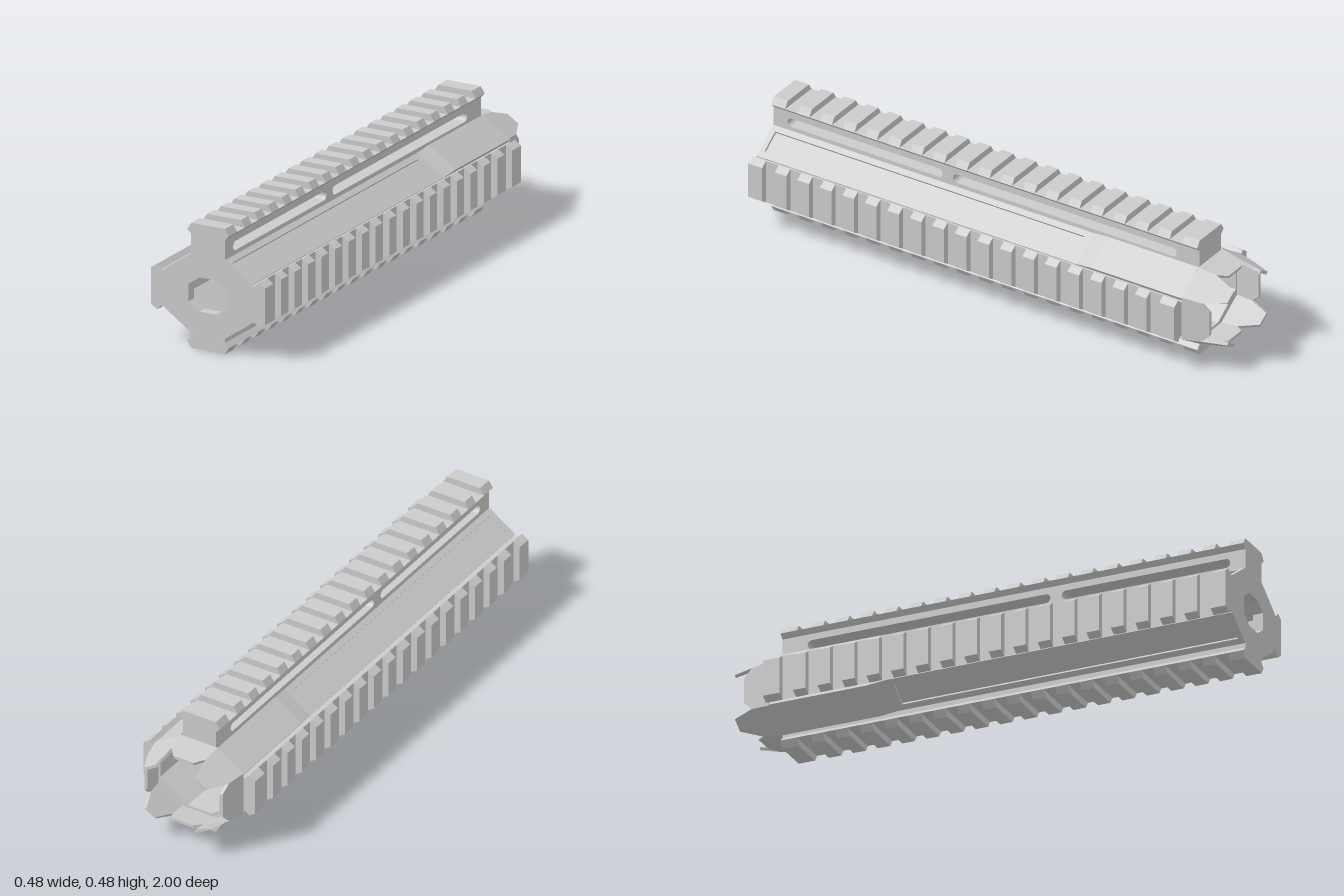
import * as THREE from 'three';

const FRONT = 1, BACK = -0.84, LEN = FRONT - BACK, AXIS_Y = 0.21;
const material = new THREE.MeshStandardMaterial({ color: 0xcccccc, flatShading: true, side: THREE.DoubleSide });

const shapeOf = (pts) => new THREE.Shape(pts.map(([x, y]) => new THREE.Vector2(x, y)));
const extrude = (shape, depth) =>
  new THREE.ExtrudeGeometry(shape, { depth, bevelEnabled: false, curveSegments: 8 });

function add(parent, name, geometry) {
  const mesh = new THREE.Mesh(geometry, material);
  mesh.name = name;
  parent.add(mesh);
  return mesh;
}

// Eight-sided ring, counter-clockwise, from its two corners in the first quadrant
function octagon([ax, ay], [bx, by]) {
  return [[bx, -by], [bx, by], [ax, ay], [-ax, ay], [-bx, by], [-bx, -by], [-ax, -ay], [ax, -ay]];
}

// Side profile drawn in (z, y), extruded across x and centred
function acrossX(shape, width) {
  return extrude(shape, width).rotateY(-Math.PI / 2).translate(width / 2, 0, 0);
}

// Rounded slot from z0 to z1 between heights y0 and y1
function slot(z0, z1, y0, y1) {
  const r = (y1 - y0) / 2, y = (y0 + y1) / 2;
  const path = new THREE.Path();
  path.absarc(z1 - r, y, r, -Math.PI / 2, Math.PI / 2, false);
  path.absarc(z0 + r, y, r, Math.PI / 2, Math.PI * 1.5, false);
  path.closePath();
  return path;
}

// Toothed rail whose outer face lies at radius R from the axis
function makeRail(name, R, inner, slots) {
  const rail = new THREE.Group();
  rail.name = name;
  const neck = R - 0.043, lip = R - 0.026;
  const web = shapeOf([[BACK, inner], [FRONT, inner], [FRONT, neck], [BACK, neck]]);
  web.holes.push(...slots);
  add(rail, 'railWeb', acrossX(web, 0.14));
  const head = shapeOf([[-0.07, neck], [0.07, neck], [0.087, lip], [-0.087, lip]]);
  add(rail, 'railHead', extrude(head, LEN).translate(0, 0, BACK));

  const tooth = shapeOf([[-0.087, lip], [0.087, lip], [0.07, R], [-0.07, R]]);
  const teeth = [[0.94, 0.06], [BACK, 0.065]];
  for (let i = 0; i < 17; i++) teeth.push([0.835 - i * 0.0972, 0.05]);
  for (const [z, w] of teeth) add(rail, 'railTooth', extrude(tooth, w).translate(0, 0, z));
  return rail;
}

// Sloping panel between two rails: windowed frame and a raised rear pad
function makeDiagonal(sx, sy) {
  const panel = new THREE.Group();
  panel.name = 'diagonalPanel';
  const width = 0.134, h = width / 2;
  const frame = shapeOf([[-h, BACK], [h, BACK], [h, FRONT], [-h, FRONT]]);
  frame.holes.push(new THREE.Path(
    [[-0.044, -0.355], [-0.044, 0.98], [0.04, 0.98], [0.04, -0.355]].map(([x, y]) => new THREE.Vector2(x * sx * sy, y))));
  add(panel, 'panelFrame', extrude(frame, 0.01).rotateX(Math.PI / 2));
  const pad = shapeOf([[BACK, -0.008], [-0.38, -0.008], [-0.38, 0], [-0.45, 0.013], [BACK, 0.013]]);
  add(panel, 'raisedPad', acrossX(pad, width));
  panel.position.set(0.127 * sx, 0.112 * sy, 0);
  panel.rotation.z = Math.atan2(0.822 * sy, 0.568 * sx) - Math.PI / 2;
  return panel;
}

// One tapering plate of the rear crown between ring corners a and b
function crownPlate(a, b, outline) {
  const point = ([u, t], wall) => {
    const s = (1 - 1.06 * t) * wall;
    return [(a[0] + (b[0] - a[0]) * u) * s, (a[1] + (b[1] - a[1]) * u) * s, BACK - t];
  };
  const outer = outline.map((p) => point(p, 1)), inside = outline.map((p) => point(p, 0.92));
  const n = outline.length, pos = [];
  const tri = (...corners) => corners.forEach((c) => pos.push(...c));
  for (let i = 1; i < n - 1; i++) {
    tri(outer[0], outer[i + 1], outer[i]);
    tri(inside[0], inside[i], inside[i + 1]);
  }
  for (let i = 0; i < n; i++) {
    const j = (i + 1) % n;
    tri(outer[i], outer[j], inside[j]);
    tri(outer[i], inside[j], inside[i]);
  }
  const geometry = new THREE.BufferGeometry();
  geometry.setAttribute('position', new THREE.Float32BufferAttribute(pos, 3));
  geometry.computeVertexNormals();
  return geometry;
}

export function createModel() {
  const model = new THREE.Group();
  model.name = 'railedHandguard';
  const core = new THREE.Group();
  core.name = 'handguard';
  core.position.y = AXIS_Y;
  model.add(core);

  // Hollow eight-sided body, closed at the front by a plate with a smaller bore
  const ring = octagon([0.0544, 0.15], [0.182, 0.0618]);
  const tube = shapeOf(ring);
  tube.holes.push(shapeOf(octagon([0.05, 0.137], [0.167, 0.056])));
  add(core, 'bodyTube', extrude(tube, LEN - 0.04).translate(0, 0, BACK));
  const plate = shapeOf(ring);
  plate.holes.push(shapeOf(octagon([0.035, 0.065], [0.081, 0.034])));
  add(core, 'frontPlate', extrude(plate, 0.04).translate(0, 0, FRONT - 0.04));

  // Four rails; the tall top one has two slots through its web
  const topSlots = [slot(0.27, 0.94, 0.165, 0.2), slot(-0.74, 0.225, 0.165, 0.2)];
  const rails = [
    ['topRail', 0.268, 0.145, topSlots, 0],
    ['leftRail', 0.238, 0.177, [], -Math.PI / 2],
    ['bottomRail', 0.21, 0.145, [], Math.PI],
    ['rightRail', 0.238, 0.177, [], Math.PI / 2],
  ];
  for (const [name, R, inner, slots, turn] of rails) {
    const rail = makeRail(name, R, inner, slots);
    rail.rotation.z = turn;
    core.add(rail);
  }

  // Four sloping panels
  for (const sx of [1, -1]) for (const sy of [1, -1]) core.add(makeDiagonal(sx, sy));

  // Rear crown: long pointed prongs on the slopes, short ones behind the rails
  const longProng = [[0, 0], [1, 0], [1, 0.075], [0.75, 0.16], [0.25, 0.16], [0, 0.075]];
  const shortProng = [[0, 0], [1, 0], [1, 0.075], [0.82, 0.107], [0.18, 0.107], [0, 0.075]];
  const base = octagon([0.078, 0.16], [0.189, 0.088]);
  base.forEach((a, i) => {
    const short = i % 2 === 0;
    add(core, short ? 'shortProng' : 'longProng',
      crownPlate(a, base[(i + 1) % 8], short ? shortProng : longProng));
  });

  return model;
}
